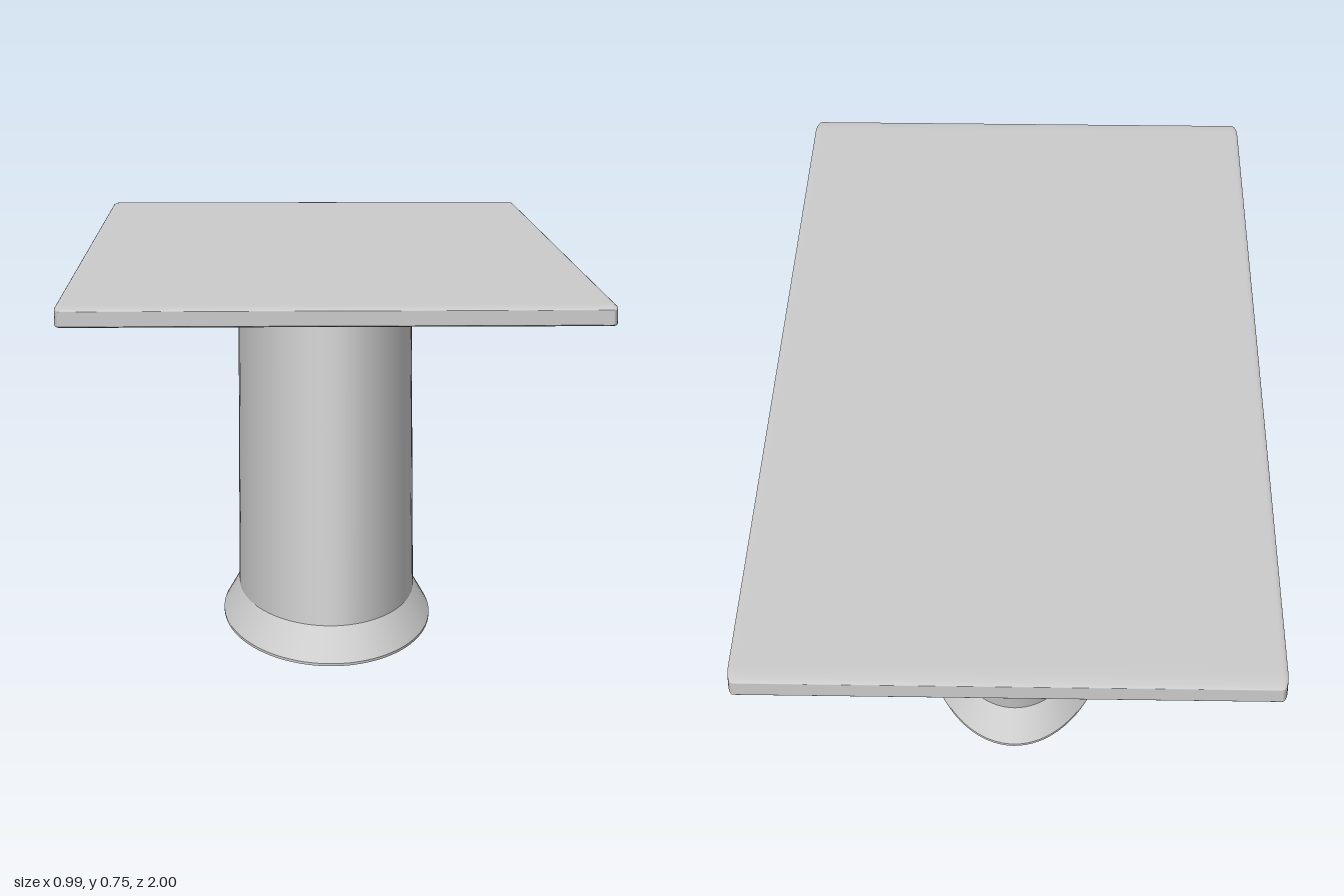
import * as THREE from 'three';
import { RoundedBoxGeometry } from 'three/addons/geometries/RoundedBoxGeometry.js';

const SIDES = 96;

// Band between two horizontal ellipses { y, z, rx, rz }; listing the lower one second faces outward.
function band(from, to) {
  const geo = new THREE.CylinderGeometry(1, 1, 1, SIDES, 1, true);
  const p = geo.attributes.position;
  for (let i = 0; i < p.count; i++) {
    const e = p.getY(i) > 0 ? to : from;
    p.setXYZ(i, p.getX(i) * e.rx, e.y, e.z + p.getZ(i) * e.rz);
  }
  geo.computeVertexNormals();
  // Smooth the seam where the first and last column meet
  const n = geo.attributes.normal;
  const a = new THREE.Vector3(), b = new THREE.Vector3();
  for (const row of [0, SIDES + 1]) {
    a.fromBufferAttribute(n, row).add(b.fromBufferAttribute(n, row + SIDES)).normalize();
    n.setXYZ(row, a.x, a.y, a.z);
    n.setXYZ(row + SIDES, a.x, a.y, a.z);
  }
  return geo;
}

export function createModel() {
  const group = new THREE.Group();
  const material = new THREE.MeshStandardMaterial({ color: 0xcccccc });
  const add = (name, geo, parent = group) => {
    const mesh = new THREE.Mesh(geo, material);
    mesh.name = name;
    parent.add(mesh);
    return mesh;
  };

  // Tabletop: slab whose rounding is stretched along its length
  const r = [0.012, 0.006, 0.045];
  const slab = new RoundedBoxGeometry(0.99 / r[0], 0.037 / r[1], 2 / r[2], 5, 1);
  slab.scale(...r);
  add('tabletop', slab).position.y = 0.7335;

  // Leaning hollow oval pedestal with a flared foot
  const pedestal = new THREE.Group();
  pedestal.name = 'pedestal';
  pedestal.position.x = 0.003;
  group.add(pedestal);
  const sections = [
    ['innerWall', { y: 0.72, z: 0.0, rx: 0.172, rz: 0.39 }],
    ['innerLip', { y: 0.06, z: 0.118, rx: 0.172, rz: 0.39 }],
    ['footUnderside', { y: 0, z: 0.133, rx: 0.168, rz: 0.38 }],
    ['footRim', { y: 0, z: 0.133, rx: 0.215, rz: 0.478 }],
    ['footFlare', { y: 0.005, z: 0.133, rx: 0.215, rz: 0.478 }],
    ['column', { y: 0.058, z: 0.118, rx: 0.183, rz: 0.407 }],
    ['end', { y: 0.72, z: 0.0, rx: 0.183, rz: 0.407 }],
  ];
  for (let i = 0; i < sections.length - 1; i++) {
    add(sections[i][0], band(sections[i][1], sections[i + 1][1]), pedestal);
  }
  return group;
}
